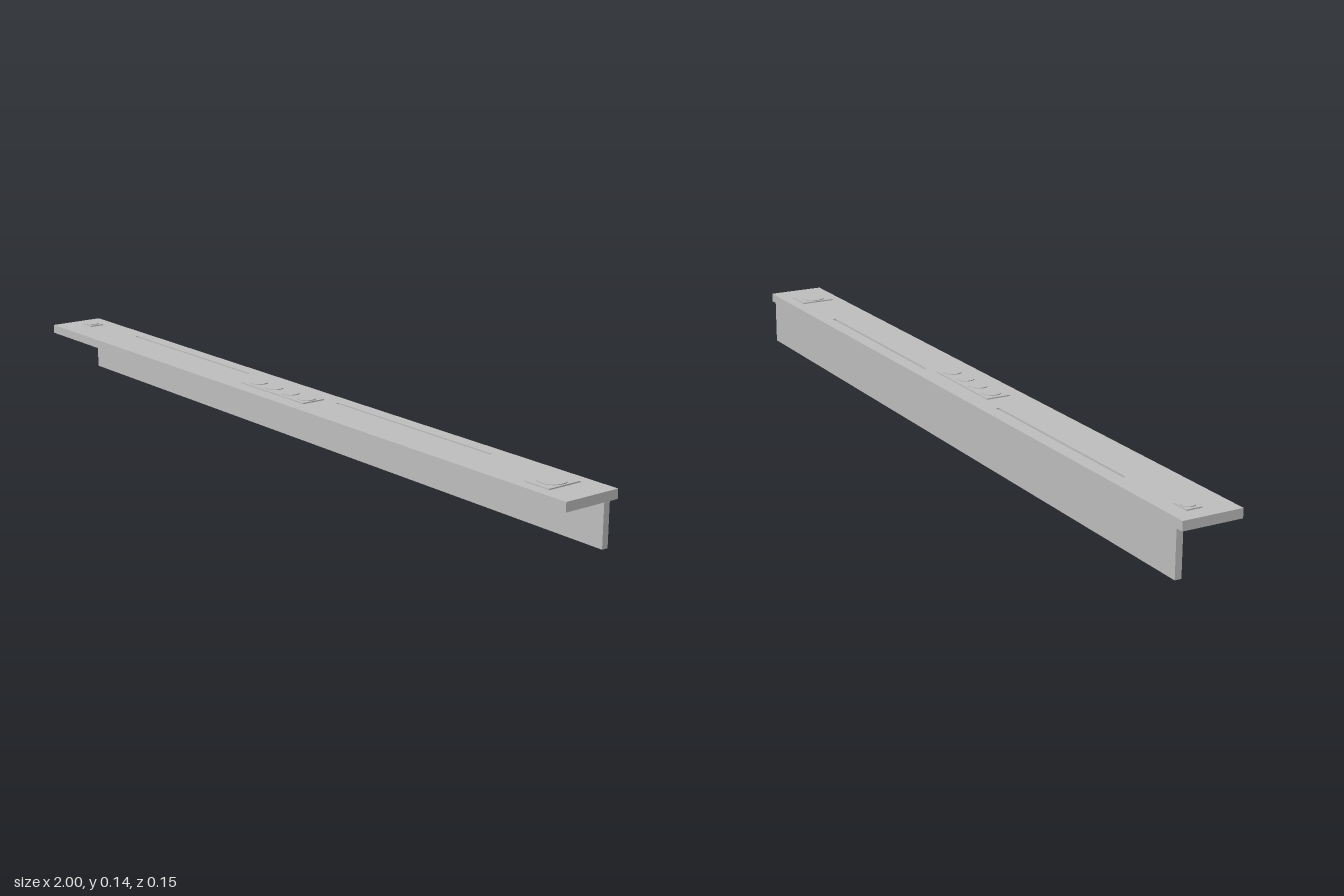
import * as THREE from 'three';

export function createModel() {
  const model = new THREE.Group();
  model.name = 'shelfRail';
  const grey = new THREE.MeshStandardMaterial({ color: 0xc0c0c0 });
  grey.name = 'plain grey';

  const add = (name, geometry) => {
    const mesh = new THREE.Mesh(geometry, grey);
    mesh.name = name;
    model.add(mesh);
    return mesh;
  };

  // Box given by its limits on each axis
  const block = (name, x0, x1, y0, y1, z0, z1) => {
    const mesh = add(name, new THREE.BoxGeometry(x1 - x0, y1 - y0, z1 - z0));
    mesh.position.set((x0 + x1) / 2, (y0 + y1) / 2, (z0 + z1) / 2);
    return mesh;
  };

  // Flat round cap lying on a pad
  const disc = (name, x, z, radius, y0, y1) => {
    const mesh = add(name, new THREE.CylinderGeometry(radius, radius, y1 - y0, 32));
    mesh.position.set(x, (y0 + y1) / 2, z);
  };

  // Rectangle outline in plan; shape y becomes -z after rotation
  const rectangle = (target, x0, x1, z0, z1) => {
    target.moveTo(x0, -z1);
    target.lineTo(x1, -z1);
    target.lineTo(x1, -z0);
    target.lineTo(x0, -z0);
    target.closePath();
    return target;
  };

  // Top board: solid lower layer and an upper layer cut by two long grooves
  block('boardBase', -1, 1, 0.11, 0.127, -0.073, 0.073);
  const plan = rectangle(new THREE.Shape(), -1, 1, -0.073, 0.073);
  for (const [x0, x1] of [[-0.74, -0.215], [0.14, 0.67]]) {
    plan.holes.push(rectangle(new THREE.Path(), x0, x1, -0.039, -0.031));
  }
  const top = add('boardTop', new THREE.ExtrudeGeometry(plan, { depth: 0.005, bevelEnabled: false }));
  top.rotation.x = -Math.PI / 2;
  top.position.y = 0.127;

  // Upright back panel
  block('backPanel', -0.98, 0.98, 0, 0.11, -0.072, -0.056);

  // Thin strips under the board
  for (const x of [-0.775, 0.77]) {
    block('underStrip', x - 0.014, x + 0.014, 0.106, 0.11, -0.056, 0.058);
  }

  // Centre panel with four round controls
  block('controlPanel', -0.15, 0.1, 0.132, 0.135, -0.026, 0.036);
  for (let i = 0; i < 4; i++) {
    disc('roundControl', -0.118 + i * 0.064, 0.005, 0.022, 0.135, 0.137);
  }

  // End pads
  block('leftPad', 0.853, 0.925, 0.132, 0.135, -0.042, 0.046);
  disc('leftPadCap', 0.889, 0.002, 0.032, 0.135, 0.137);
  block('rightPad', -0.96, -0.915, 0.132, 0.135, -0.035, 0.003);
  disc('rightPadCap', -0.9375, -0.016, 0.016, 0.135, 0.137);

  return model;
}
